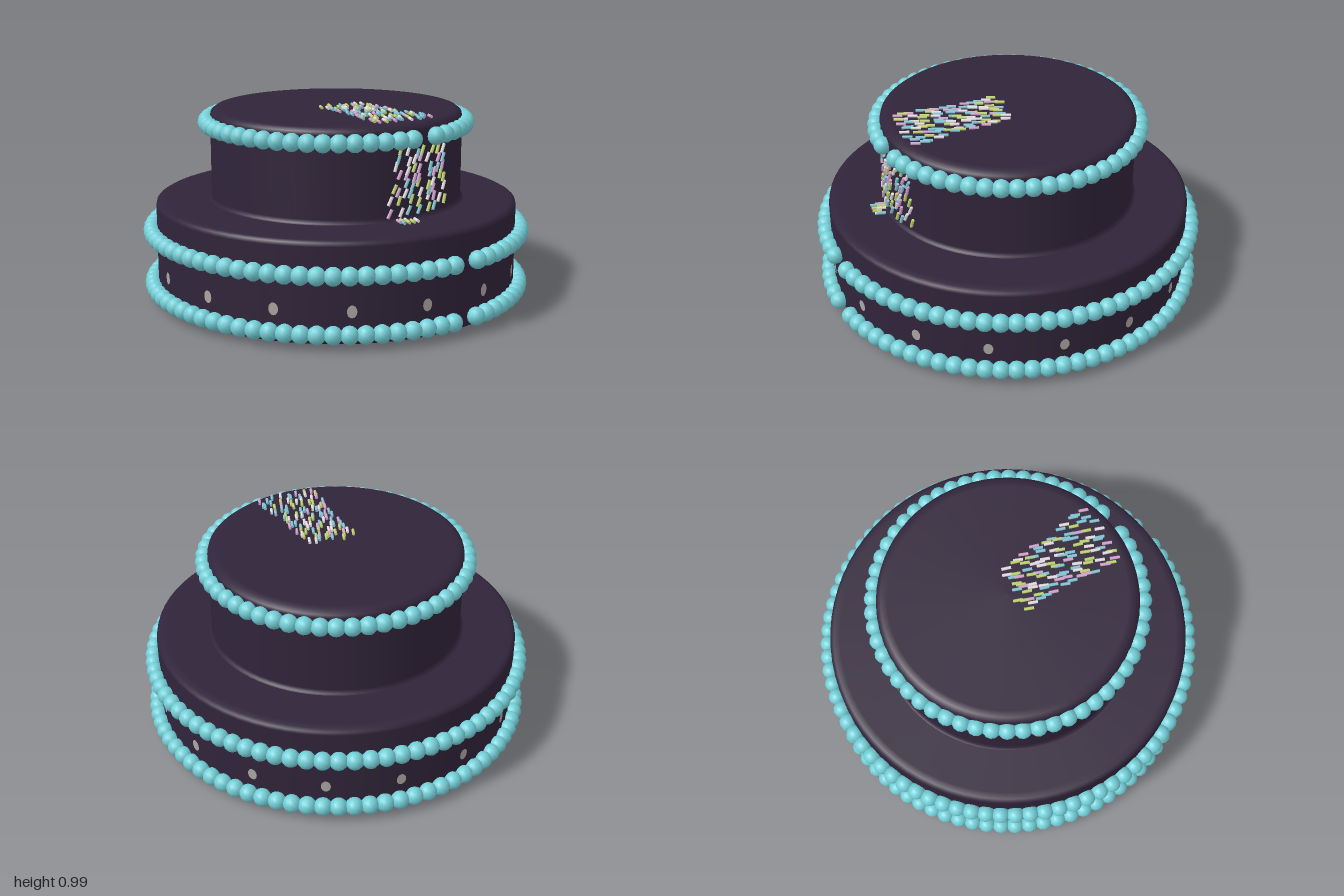
import * as THREE from 'three';
import { mergeGeometries } from 'three/addons/utils/BufferGeometryUtils.js';

const mat = (name, color) => new THREE.MeshStandardMaterial({ name, color });
const GAP = THREE.MathUtils.degToRad(26.9); // where each beaded ring is left open

export function createModel() {
  const model = new THREE.Group();
  const icing = mat('dark plum icing', 0x30243a);
  const piping = mat('turquoise piping', 0x74ced6);
  const pale = mat('pale grey', 0xaba6a0);
  const sprinkleMats = [
    mat('lime sprinkle', 0xc2d670), mat('pink sprinkle', 0xd8a4d2),
    mat('blue sprinkle', 0x84c8d8), mat('white sprinkle', 0xe8e0e6),
  ];
  let seed = 7;
  const rand = () => (seed = (seed * 16807) % 2147483647) / 2147483647;

  const add = (name, geometry, material) => {
    const mesh = new THREE.Mesh(geometry, material);
    mesh.name = name;
    model.add(mesh);
    return mesh;
  };

  // Tiers, each a lathe with softened rims
  const tier = (name, points) =>
    add(name, new THREE.LatheGeometry(points.map(([r, y]) => new THREE.Vector2(r, y)), 72), icing);
  tier('lowerTier', [[0, 0.006], [0.88, 0.006], [0.91, 0.012], [0.928, 0.03], [0.93, 0.05],
    [0.93, 0.48], [0.926, 0.497], [0.91, 0.506], [0.88, 0.508], [0, 0.508]]);
  tier('upperTier', [[0.665, 0.506], [0.65, 0.512], [0.645, 0.53], [0.645, 0.935], [0.641, 0.952],
    [0.62, 0.968], [0.59, 0.97], [0, 0.97]]);

  // Pale disc under the cake
  const base = add('baseDisc', new THREE.CylinderGeometry(0.665, 0.665, 0.008, 20), pale);
  base.position.y = 0.004;

  // Beaded piping, one bead left out at the gap
  const beadRing = (name, radius, y, count) => {
    const beads = [];
    for (let i = 1; i < count; i++) {
      const a = GAP + (i / count) * Math.PI * 2;
      const bead = new THREE.SphereGeometry(0.045, 12, 8);
      bead.rotateY(a);
      bead.translate(radius * Math.sin(a), y, radius * Math.cos(a));
      beads.push(bead);
    }
    add(name, mergeGeometries(beads), piping);
  };
  beadRing('bottomPiping', 0.955, 0.07, 80);
  beadRing('middlePiping', 0.955, 0.35, 80);
  beadRing('topPiping', 0.664, 0.9, 56);

  // Oval dots around the lower tier
  const dots = [];
  for (let i = 0; i < 16; i++) {
    const dot = new THREE.CircleGeometry(1, 16);
    dot.scale(0.024, 0.031, 1);
    dot.translate(0, 0.175, 0.932);
    dot.rotateY(THREE.MathUtils.degToRad(14.2 + i * 22.5));
    dots.push(dot);
  }
  add('dots', mergeGeometries(dots), pale);

  // Sprinkles, gathered by colour
  const piles = sprinkleMats.map(() => []);
  const up = new THREE.Vector3(0, 1, 0);
  const sprinkle = (x, y, z, direction) => {
    const rod = new THREE.CylinderGeometry(0.008, 0.008, 0.048, 6);
    rod.applyQuaternion(new THREE.Quaternion().setFromUnitVectors(up, direction.normalize()));
    rod.translate(x, y, z);
    piles[Math.floor(rand() * 4)].push(rod);
  };
  // jittered grid inside a four-cornered patch
  const patch = ([a, b, c, d], nu, nv, place) => {
    for (let i = 0; i < nu; i++) for (let j = 0; j < nv; j++) {
      const u = (i + 0.1 + rand() * 0.8) / nu, v = (j + 0.1 + rand() * 0.8) / nv;
      const mix = (k) => (a[k] * (1 - u) + b[k] * u) * (1 - v) + (d[k] * (1 - u) + c[k] * u) * v;
      place(mix(0), mix(1));
    }
  };
  // on top of the cake
  patch([[-0.11, 0.05], [0.13, 0], [0.39, 0.47], [0.06, 0.6]], 8, 13, (x, z) =>
    sprinkle(x, 0.979, z, new THREE.Vector3((rand() - 0.5) * 0.1, 0, 1)));
  // down the wall of the upper tier
  patch([[0.15, 0.86], [0.44, 0.85], [0.44, 0.54], [0.1, 0.54]], 7, 8, (x, y) => {
    const a = Math.asin(x / 0.652);
    const lean = 0.3 + rand() * 0.25;
    sprinkle(x, y, 0.652 * Math.cos(a),
      new THREE.Vector3(Math.cos(a) * lean, 1, -Math.sin(a) * lean));
  });
  // fallen on the ledge
  patch([[0.12, 0.66], [0.24, 0.63], [0.26, 0.67], [0.16, 0.69]], 4, 2, (x, z) =>
    sprinkle(x, 0.516, z, new THREE.Vector3(0.1, 0, 1)));
  piles.forEach((rods, i) =>
    add(sprinkleMats[i].name.replace(' sprinkle', 'Sprinkles'), mergeGeometries(rods), sprinkleMats[i]));

  return model;
}
